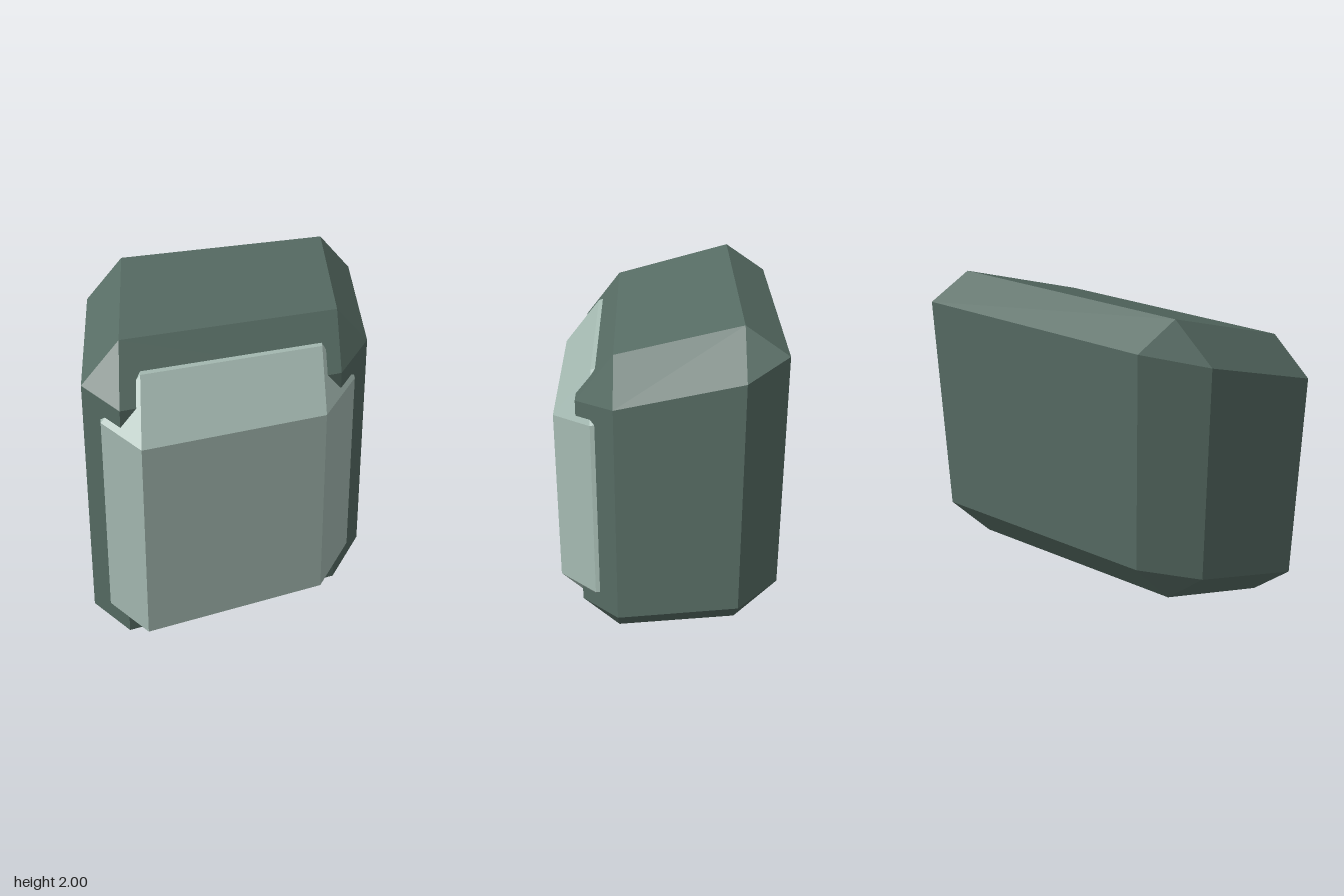
import * as THREE from 'three';
import { ConvexGeometry } from 'three/addons/geometries/ConvexGeometry.js';

// Slant of the whole form: sections move left and down toward the front
const SLANT = 0.405;
const PIVOT_Z = -0.07;

// Box with chamfered edges and corners, slanted along z
function chamferedBlock(name, color, { half, inner, front, frontRim, backRim, back }) {
  const points = [];
  const add = (x, y, z) => {
    const shift = -SLANT * (z - PIVOT_Z);
    points.push(new THREE.Vector3(x + shift, 1 + y + shift, z));
  };
  for (const sx of [-1, 1]) {
    for (const sy of [-1, 1]) {
      // square end faces
      for (const z of [front, back]) add(sx * inner, sy * inner, z);
      // octagonal sections where the side walls begin and end
      for (const z of [frontRim, backRim]) {
        add(sx * half, sy * inner, z);
        add(sx * inner, sy * half, z);
      }
    }
  }
  const mesh = new THREE.Mesh(
    new ConvexGeometry(points),
    new THREE.MeshStandardMaterial({ color, flatShading: true })
  );
  mesh.name = name;
  return mesh;
}

export function createModel() {
  const model = new THREE.Group();
  model.name = 'slantedBlock';

  // Dark outer body
  model.add(chamferedBlock('outerBody', 0x566b63, {
    half: 0.87, inner: 0.655, front: 0.47, frontRim: 0.255, backRim: -0.395, back: -0.61,
  }));

  // Pale core, standing proud of the body at the front; the body's corners poke through it
  model.add(chamferedBlock('paleCore', 0xa5bab2, {
    half: 0.765, inner: 0.54, front: 0.61, frontRim: 0.385, backRim: -0.385, back: -0.609,
  }));

  return model;
}
